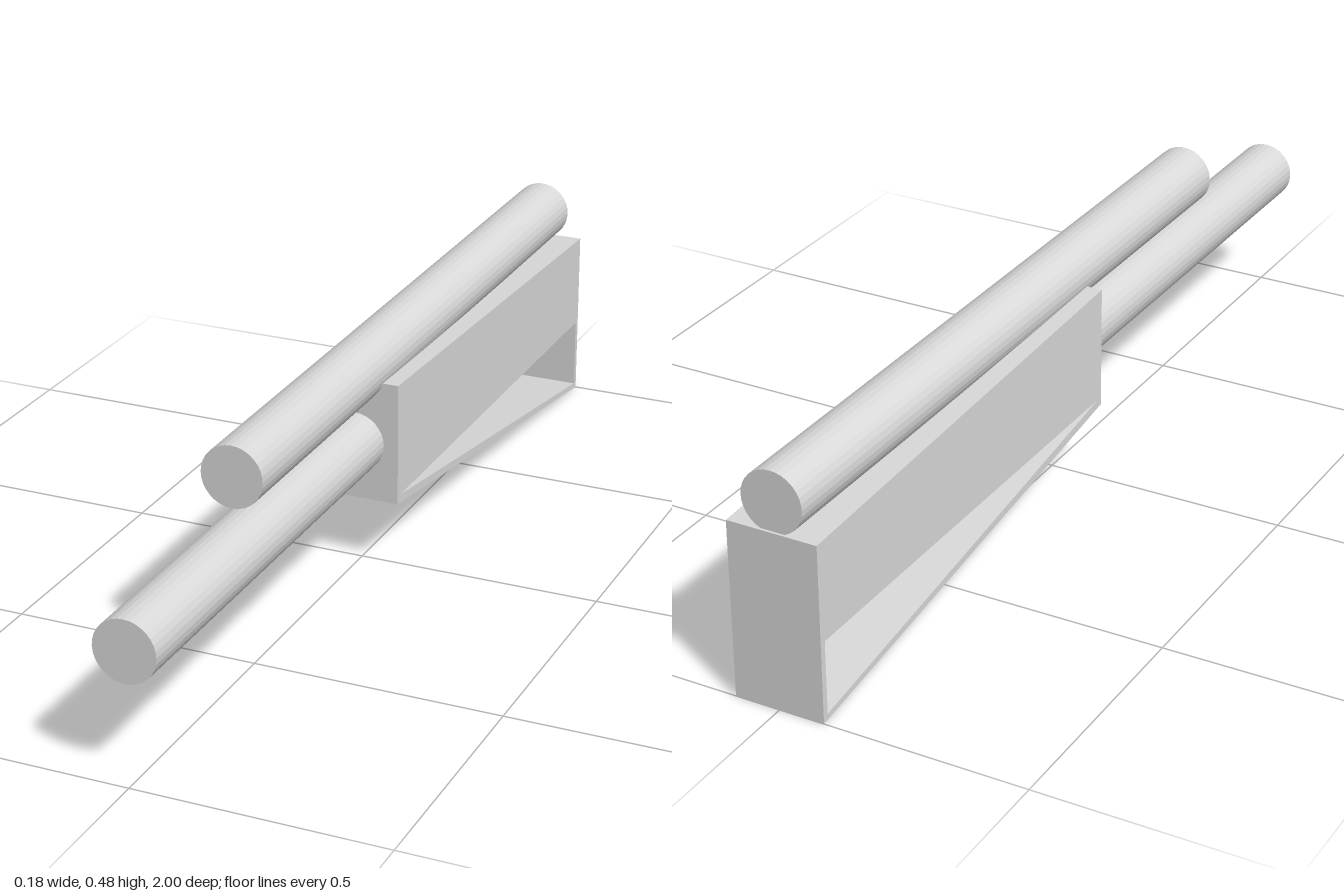
import * as THREE from 'three';

const gray = new THREE.MeshStandardMaterial({ color: 0xd9d9d9 });
gray.name = 'light gray';

// Faceted tube lying along z, from the back end to the front end
function makeTube(name, y, back, front) {
  const geometry = new THREE.CylinderGeometry(0.062, 0.062, front - back, 32)
    .rotateX(Math.PI / 2)
    .translate(0, y, (front + back) / 2)
    .toNonIndexed();
  geometry.computeVertexNormals();
  const mesh = new THREE.Mesh(geometry, gray);
  mesh.name = name;
  return mesh;
}

// Tapered stock with a triangular opening, drawn as (z, y) and extruded across x
function makeStock() {
  const width = 0.184;
  const points = (list) => list.map(([z, y]) => new THREE.Vector2(-z, y));
  const shape = new THREE.Shape(points([[0.035, 0.147], [-1, 0], [-1, 0.36], [0.035, 0.4]]));
  shape.holes.push(new THREE.Path(points([[0.022, 0.163], [-0.987, 0.163], [-0.987, 0.014]])));
  const geometry = new THREE.ExtrudeGeometry(shape, { depth: width, bevelEnabled: false })
    .translate(0, 0, -width / 2)
    .rotateY(Math.PI / 2);
  const mesh = new THREE.Mesh(geometry, gray);
  mesh.name = 'stock';
  return mesh;
}

export function createModel() {
  const model = new THREE.Group();
  model.name = 'twinTubeLauncher';
  model.add(
    makeStock(),
    makeTube('upperTube', 0.417, -0.995, 0.58),
    makeTube('lowerBarrel', 0.267, -0.31, 1),
  );
  return model;
}
